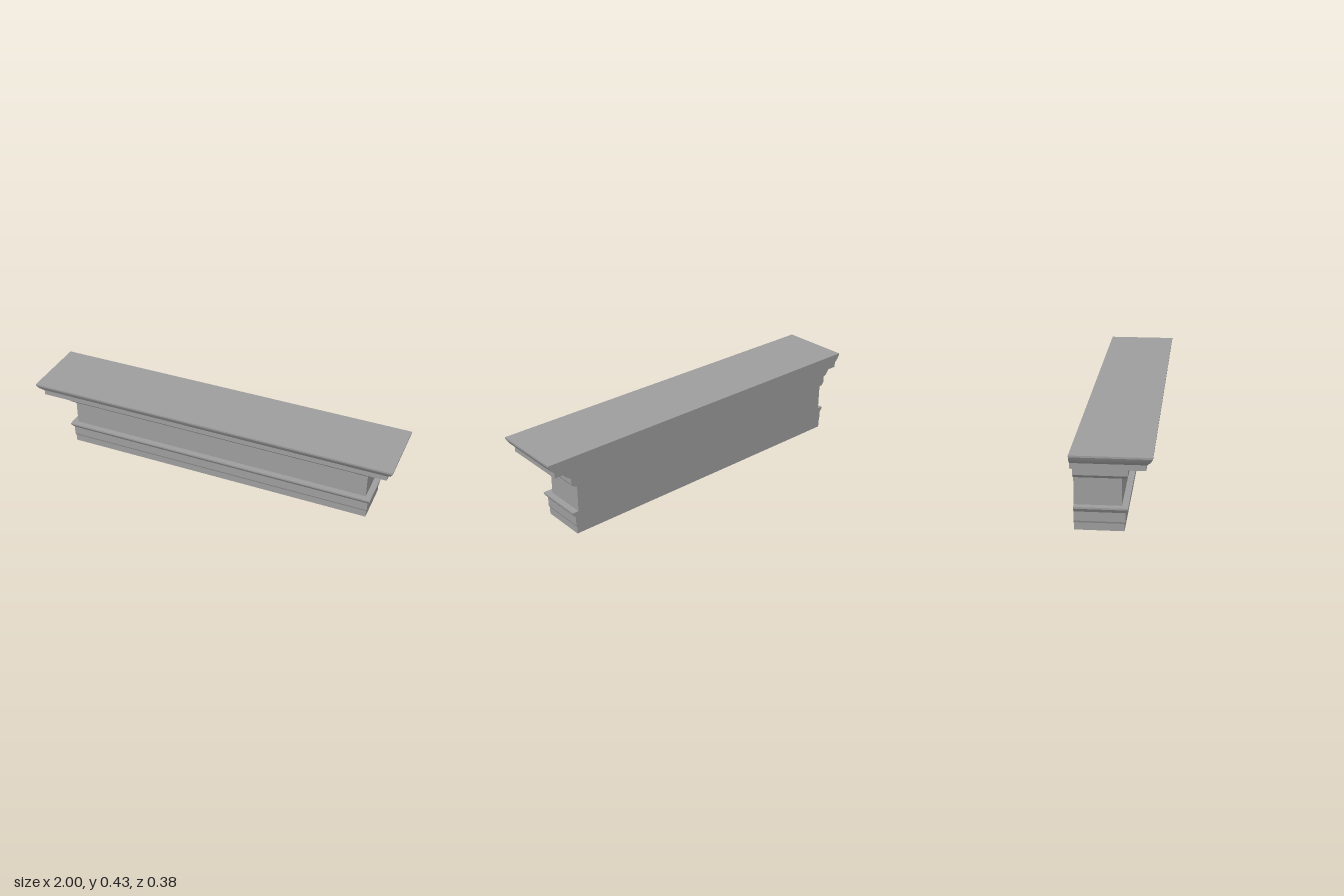
import * as THREE from 'three';
import { toCreasedNormals } from 'three/addons/utils/BufferGeometryUtils.js';

const BACK = -0.188; // flat wall side
const RUN = 0.812;   // half length beyond the profile depth

// Moulding bands from bottom to top, each a list of [z, y]; each starts where the last ended
const BANDS = [
  ['plinth', [[0.05, 0], [0.05, 0.038], [0.054, 0.048], [0.054, 0.095]]],
  ['baseMoulding', [[0.054, 0.095], [0.068, 0.115], [0.068, 0.124], [0.037, 0.124]]],
  ['frieze', [[0.037, 0.124], [0.037, 0.262]]],
  ['lowerOvolo', [[0.037, 0.262], [0.056, 0.269], [0.068, 0.285]], true],
  ['bedFillet', [[0.068, 0.285], [0.068, 0.317]]],
  ['bedCove', [[0.068, 0.317], [0.087, 0.329], [0.104, 0.353]], true],
  ['corona', [[0.104, 0.353], [0.157, 0.353], [0.157, 0.375]]],
  ['coronaBead', [[0.157, 0.375], [0.158, 0.375], [0.158, 0.381]]],
  ['crownCove', [[0.158, 0.381], [0.176, 0.398], [0.188, 0.42]], true],
  ['topFillet', [[0.188, 0.42], [0.188, 0.429]]],
];

const material = new THREE.MeshStandardMaterial({ color: 0x9d9d9d });

// Sweep a profile round the left end, front and right end with mitred corners
function sweep(profile, smooth) {
  const position = [];
  const index = [];
  for (const [z, y] of profile) {
    const x = z + RUN;
    position.push(-x, y, BACK, -x, y, z, x, y, z, x, y, BACK);
  }
  for (let j = 0; j < profile.length - 1; j++) {
    for (let i = 0; i < 3; i++) {
      const a = j * 4 + i;
      index.push(a, a + 1, a + 5, a, a + 5, a + 4);
    }
  }
  const geometry = new THREE.BufferGeometry();
  geometry.setAttribute('position', new THREE.Float32BufferAttribute(position, 3));
  geometry.setIndex(index);
  return toCreasedNormals(geometry, smooth ? 0.6 : 0.01);
}

export function createModel() {
  const group = new THREE.Group();
  const add = (name, geometry) => {
    const mesh = new THREE.Mesh(geometry, material);
    mesh.name = name;
    group.add(mesh);
  };

  for (const [name, profile, smooth] of BANDS) add(name, sweep(profile, smooth));

  // Horizontal caps
  const cap = (z, y, turn) => new THREE.PlaneGeometry(2 * (z + RUN), z - BACK)
    .rotateX(turn).translate(0, y, (z + BACK) / 2);
  add('topSlab', cap(0.188, 0.429, -Math.PI / 2));
  add('underside', cap(0.05, 0, Math.PI / 2));

  // Flat back, outlined by the moulding profile on both ends
  const edge = BANDS.flatMap(([, profile]) => profile.slice(0, -1)).concat([[0.188, 0.429]]);
  const outline = [
    ...edge.map(([z, y]) => new THREE.Vector2(z + RUN, y)),
    ...edge.map(([z, y]) => new THREE.Vector2(-z - RUN, y)).reverse(),
  ];
  add('backPanel', new THREE.ShapeGeometry(new THREE.Shape(outline))
    .rotateY(Math.PI).translate(0, 0, BACK));

  return group;
}
